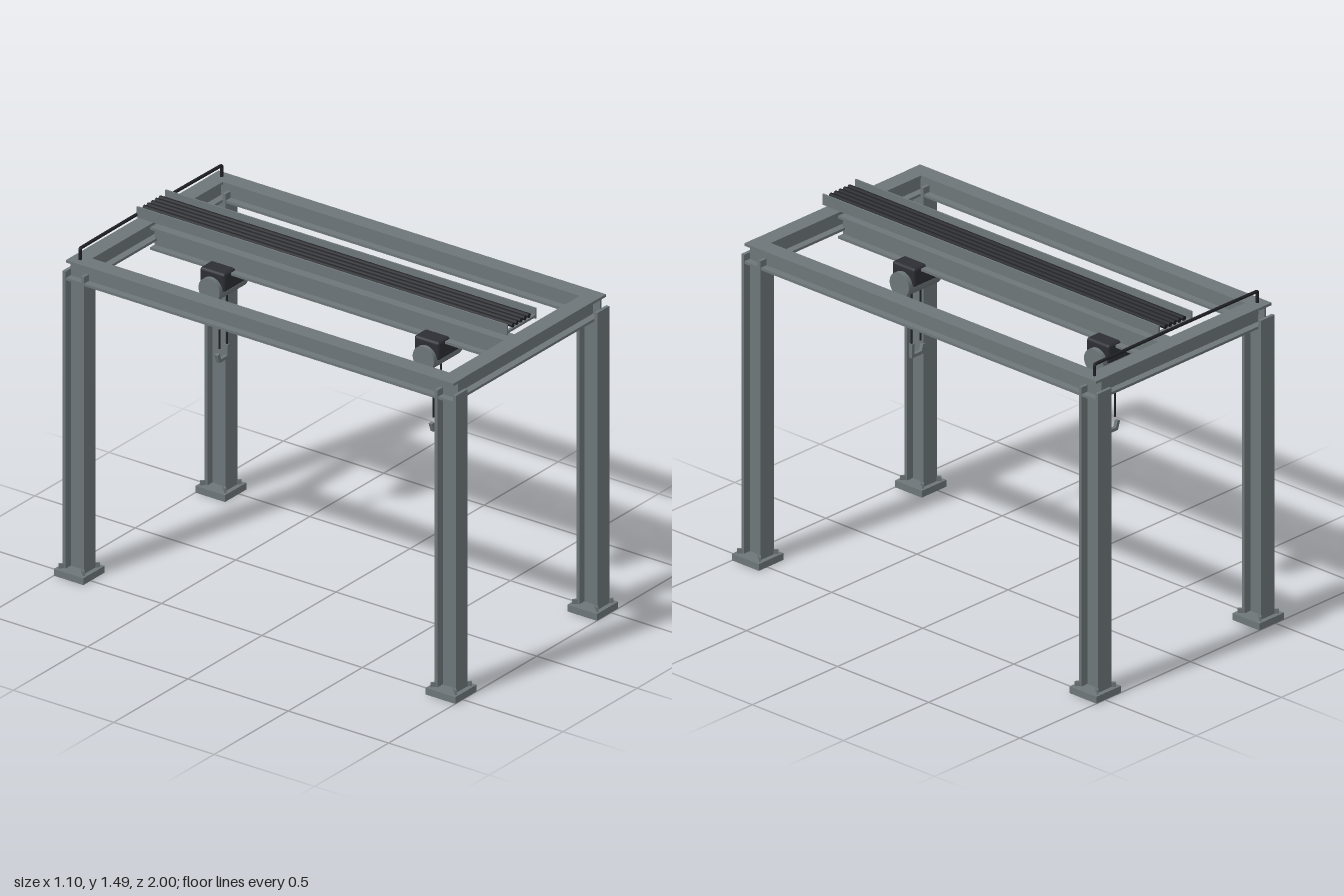
import * as THREE from 'three';
import { RoundedBoxGeometry } from 'three/addons/geometries/RoundedBoxGeometry.js';

const mat = (name, color, side = THREE.FrontSide) => {
  const m = new THREE.MeshStandardMaterial({ color, side });
  m.name = name;
  return m;
};

// I-section of width w and height h, extruded along z and centred
function iBeam(w, h, flange, web, length) {
  const a = w / 2, b = h / 2, t = web / 2, f = b - flange;
  const half = [[a, -b], [a, -f], [t, -f], [t, f], [a, f], [a, b]];
  const pts = [...half, ...half.map(([x, y]) => [-x, -y])];
  const shape = new THREE.Shape(pts.map(([x, y]) => new THREE.Vector2(x, y)));
  return new THREE.ExtrudeGeometry(shape, { depth: length, bevelEnabled: false }).translate(0, 0, -length / 2);
}

export function createModel() {
  const steel = mat('steel grey', 0x6e7679);
  const dark = mat('dark housing', 0x2d2e35);
  const black = mat('cable black', 0x202126);

  const root = new THREE.Group();
  root.name = 'gantryCrane';
  const add = (name, geo, material, x = 0, y = 0, z = 0, parent = root) => {
    const mesh = new THREE.Mesh(geo, material);
    mesh.name = name;
    mesh.position.set(x, y, z);
    parent.add(mesh);
    return mesh;
  };

  const X = 0.478, Z = 0.9265;

  // Four columns on base plates with diagonal gussets
  const columnGeo = iBeam(0.08, 0.105, 0.015, 0.012, 1.32).rotateX(-Math.PI / 2);
  const plateGeo = new THREE.BoxGeometry(0.144, 0.03, 0.147);
  const gussetGeo = new THREE.BoxGeometry(0.03, 0.02, 0.008);
  for (const sx of [-1, 1]) for (const sz of [-1, 1]) {
    const leg = new THREE.Group();
    leg.name = 'leg';
    leg.position.set(sx * X, 0, sz * Z);
    root.add(leg);
    add('basePlate', plateGeo, steel, 0, 0.015, 0, leg);
    add('column', columnGeo, steel, 0, 0.69, 0, leg);
    for (const gx of [-1, 1]) for (const gz of [-1, 1]) {
      add('gusset', gussetGeo, steel, gx * 0.043, 0.04, gz * 0.052, leg).rotation.y = -gx * gz * Math.PI / 4;
    }
  }

  // Top frame
  const longGeo = iBeam(0.075, 0.09, 0.011, 0.01, 1.93);
  const crossGeo = iBeam(0.075, 0.09, 0.011, 0.01, 2 * X).rotateY(Math.PI / 2);
  for (const s of [-1, 1]) {
    add('longBeam', longGeo, steel, s * X, 1.355, 0);
    add('crossBeam', crossGeo, steel, 0, 1.355, s * Z);
  }

  // Hoist rail hung between the cross beams
  add('hoistRail', iBeam(0.07, 0.1, 0.011, 0.01, 1.8), steel, 0, 1.329, 0);

  // Cable tray: two sides, rungs and five cables
  const sideGeo = new THREE.BoxGeometry(0.007, 0.047, 1.845);
  for (const s of [-1, 1]) add('traySide', sideGeo, steel, s * 0.096, 1.466, 0.003);
  const rungGeo = new THREE.BoxGeometry(0.19, 0.01, 0.013);
  for (let i = 0; i < 17; i++) add('trayRung', rungGeo, steel, 0, 1.455, -0.913 + i * 0.1145);
  const cableGeo = new THREE.CylinderGeometry(0.01, 0.01, 1.84, 12).rotateX(Math.PI / 2);
  for (let i = -2; i <= 2; i++) add('trayCable', cableGeo, black, i * 0.027, 1.471, 0.003);

  // Conduit across the back, with a drop at each end
  const y = 1.45;
  const path = new THREE.CurvePath();
  const v = (px, py) => new THREE.Vector3(px, py, -0.922);
  path.add(new THREE.LineCurve3(v(-X, 1.39), v(-X, y - 0.008)));
  path.add(new THREE.QuadraticBezierCurve3(v(-X, y - 0.008), v(-X, y), v(-X + 0.008, y)));
  path.add(new THREE.QuadraticBezierCurve3(v(-X + 0.008, y), v(0, y + 0.006), v(X - 0.008, y)));
  path.add(new THREE.QuadraticBezierCurve3(v(X - 0.008, y), v(X, y), v(X, y - 0.008)));
  path.add(new THREE.LineCurve3(v(X, y - 0.008), v(X, 1.39)));
  add('conduit', new THREE.TubeGeometry(path, 300, 0.007, 8), black);

  // Two hoists: housing, drum, ropes and hook
  const housingGeo = new RoundedBoxGeometry(0.153, 0.082, 0.125, 2, 0.012);
  const drumGeo = new THREE.CylinderGeometry(0.053, 0.053, 0.194, 32).rotateZ(Math.PI / 2);
  const ropeGeo = new THREE.CylinderGeometry(0.004, 0.004, 0.29, 8);
  const hookShape = new THREE.Shape([
    [0.016, 0.935], [0.016, 0.888], [-0.027, 0.888], [-0.036, 0.915], [-0.051, 0.912],
    [-0.038, 0.874], [0.03, 0.874], [0.03, 0.935],
  ].map(([a, b]) => new THREE.Vector2(a, b)));
  const hookGeo = new THREE.ExtrudeGeometry(hookShape, { depth: 0.016, bevelEnabled: false }).translate(0, 0, -0.008);
  for (const z of [0.507, -0.56]) {
    const hoist = new THREE.Group();
    hoist.name = 'hoist';
    hoist.position.z = z;
    root.add(hoist);
    add('housing', housingGeo, dark, -0.002, 1.258, 0, hoist);
    add('drum', drumGeo, steel, -0.001, 1.219, 0, hoist);
    for (const x of [-0.028, 0.023]) add('rope', ropeGeo, black, x, 1.078, 0, hoist);
    add('hook', hookGeo, steel, 0, 0, 0, hoist);
  }
  return root;
}
